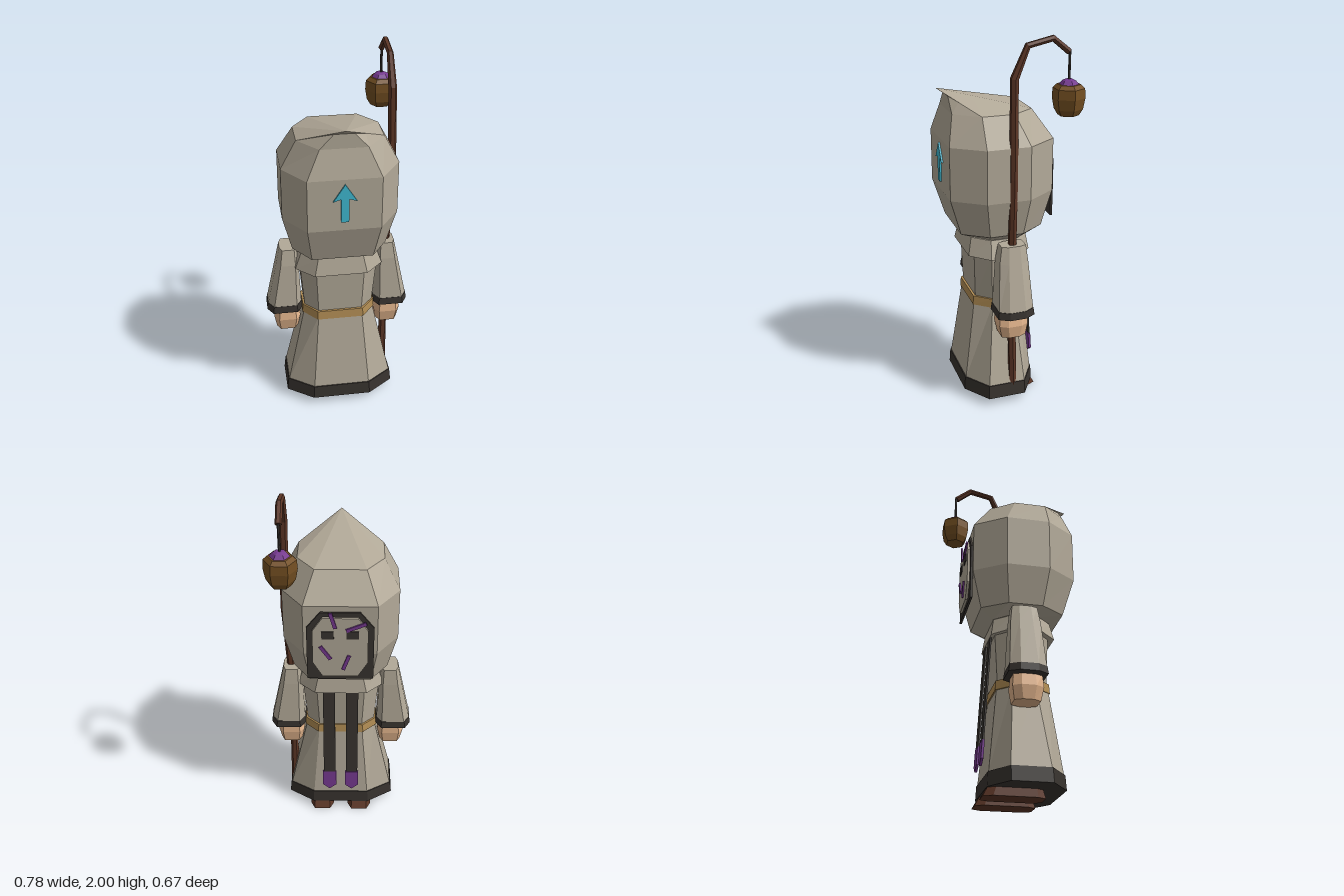
import * as THREE from 'three';

const mat = (name, color, flat = true) => {
  const m = new THREE.MeshStandardMaterial({ color, flatShading: flat });
  m.name = name;
  return m;
};

// Skin a list of rings (same point count, counter-clockwise about the travel direction) and cap both ends.
function loft(rings) {
  const pos = [];
  const tri = (...pts) => pts.forEach((p) => pos.push(...p));
  const n = rings[0].length;
  const mid = (r) => [0, 1, 2].map((k) => r.reduce((s, p) => s + p[k], 0) / n);
  const lo = rings[0], hi = rings[rings.length - 1];
  const cLo = mid(lo), cHi = mid(hi);
  for (let i = 0; i < n; i++) {
    const j = (i + 1) % n;
    for (let k = 0; k + 1 < rings.length; k++) {
      const a = rings[k], b = rings[k + 1];
      tri(a[i], a[j], b[j]);
      tri(a[i], b[j], b[i]);
    }
    tri(cLo, lo[j], lo[i]);
    tri(cHi, hi[i], hi[j]);
  }
  const g = new THREE.BufferGeometry();
  g.setAttribute('position', new THREE.Float32BufferAttribute(pos, 3));
  g.computeVertexNormals();
  return g;
}

// Eight-sided section: half width, front z, back z, half width of front/back faces, z span of side faces.
const oct = (y, sx, zf, zb, ex, sf, sb, cx = 0, bx = ex) => [
  [-ex, zf], [ex, zf], [sx, sf], [sx, sb], [bx, zb], [-bx, zb], [-sx, sb], [-sx, sf],
].map(([x, z]) => [x + cx, y, z]);

const polygon = (pts, depth) =>
  new THREE.ExtrudeGeometry(new THREE.Shape(pts.map((p) => new THREE.Vector2(...p))), { depth, bevelEnabled: false });

export function createModel() {
  const model = new THREE.Group();
  model.name = 'hoodedFigure';
  const cloth = mat('robeCloth', 0xb2a998), dark = mat('darkTrim', 0x38332f), wood = mat('darkWood', 0x5c3626),
    purple = mat('purple', 0x75388f), tan = mat('beltTan', 0xb48f55), skin = mat('skin', 0xe2b48c),
    brass = mat('lanternBrown', 0x734f22), cyan = mat('arrowCyan', 0x3fb9d2);

  const add = (name, geo, material, parent = model) => {
    const m = new THREE.Mesh(geo, material);
    m.name = name;
    parent.add(m);
    return m;
  };

  // Hood with a curled peak
  const apex = [0, 1.72, 0.335];
  const crown = oct(1.61, 0.22, 0.285, -0.13, 0.12, 0.16, -0.01, 0, 0.13);
  const curl = crown.map((p, i) => (i < 2
    ? [Math.sign(p[0]) * 0.05, 1.685, 0.285]
    : p.map((v, k) => v + (apex[k] - v) * 0.5)));
  add('hood', loft([
    oct(0.935, 0.19, 0.17, -0.11, 0.12, 0.1, -0.04),
    oct(0.98, 0.25, 0.26, -0.18, 0.16, 0.13, -0.05),
    oct(1.18, 0.3, 0.32, -0.23, 0.187, 0.16, -0.07),
    oct(1.46, 0.3, 0.32, -0.23, 0.187, 0.16, -0.07),
    crown, curl, crown.map(() => apex),
  ]), cloth);

  // Arrow emblem
  add('arrow', polygon([[-0.02, 1.23], [0.02, 1.23], [0.02, 1.358], [0.06, 1.345], [0, 1.437],
    [-0.06, 1.345], [-0.02, 1.358]], 0.009), cyan).position.z = 0.32;

  // Mask on the opposite side
  const face = new THREE.Group();
  face.name = 'mask';
  model.add(face);
  add('maskFrame', polygon([[-0.17, 1.03], [0.17, 1.03], [0.17, 1.34], [0.1, 1.43], [-0.1, 1.43], [-0.17, 1.34]], 0.012),
    dark, face).position.z = -0.24;
  add('maskPlate', polygon([[-0.09, 1.055], [0.09, 1.055], [0.14, 1.14], [0.14, 1.33], [0.09, 1.405], [-0.09, 1.405],
    [-0.14, 1.33], [-0.14, 1.14]], 0.013), cloth, face).position.z = -0.253;
  for (const s of [-1, 1]) {
    add('eye', new THREE.BoxGeometry(0.062, 0.045, 0.006), dark, face).position.set(s * 0.063, 1.308, -0.255);
  }
  for (const [x1, y1, x2, y2] of [[0.05, 1.437, 0.025, 1.35], [-0.03, 1.335, -0.13, 1.378],
    [0.1, 1.24, 0.05, 1.165], [-0.045, 1.185, -0.015, 1.1]]) {
    const m = add('paintMark', new THREE.BoxGeometry(0.018, Math.hypot(x2 - x1, y2 - y1), 0.009), purple, face);
    m.position.set((x1 + x2) / 2, (y1 + y2) / 2, -0.257);
    m.rotation.z = Math.atan2(x1 - x2, y2 - y1);
  }

  // Robe from collar to hem
  add('collar', loft([
    oct(0.843, 0.235, 0.215, -0.12, 0.14, 0.12, -0.03),
    oct(0.94, 0.2, 0.195, -0.105, 0.12, 0.11, -0.02),
  ]), cloth);
  add('torso', loft([
    oct(0.59, 0.187, 0.175, -0.083, 0.118, 0.1, -0.02),
    oct(0.86, 0.21, 0.183, -0.1, 0.13, 0.11, -0.02),
  ]), cloth);
  add('belt', loft([
    oct(0.545, 0.2, 0.19, -0.095, 0.125, 0.1, -0.025),
    oct(0.595, 0.197, 0.187, -0.092, 0.123, 0.1, -0.025),
  ]), tan);
  add('skirt', loft([
    oct(0.115, 0.29, 0.245, -0.13, 0.155, 0.15, -0.05),
    oct(0.56, 0.19, 0.183, -0.087, 0.12, 0.1, -0.02),
  ]), cloth);
  add('hem', loft([
    oct(0.043, 0.302, 0.255, -0.138, 0.16, 0.155, -0.05),
    oct(0.118, 0.294, 0.25, -0.134, 0.157, 0.152, -0.05),
  ]), dark);

  // Arms, feet and hanging straps, mirrored
  for (const s of [-1, 1]) {
    add('sleeve', loft([
      oct(0.595, 0.092, 0.117, -0.07, 0.062, 0.068, -0.02, s * 0.294),
      oct(0.85, 0.06, 0.1, -0.055, 0.04, 0.055, -0.012, s * 0.272),
      oct(0.94, 0.045, 0.085, -0.045, 0.032, 0.05, -0.01, s * 0.268),
    ]), cloth);
    add('cuff', loft([
      oct(0.56, 0.098, 0.123, -0.076, 0.067, 0.07, -0.022, s * 0.294),
      oct(0.6, 0.093, 0.118, -0.071, 0.063, 0.068, -0.02, s * 0.294),
    ]), dark);
    add('hand', loft([
      oct(0.43, 0.06, 0.092, -0.04, 0.04, 0.055, 0, s * 0.282),
      oct(0.5, 0.073, 0.107, -0.05, 0.048, 0.065, -0.01, s * 0.282),
      oct(0.57, 0.06, 0.1, -0.045, 0.042, 0.06, -0.005, s * 0.282),
    ]), skin);
    add('foot', loft([
      oct(0, 0.068, 0.152, -0.158, 0.045, 0.11, -0.11, s * 0.108),
      oct(0.06, 0.062, 0.135, -0.125, 0.042, 0.1, -0.09, s * 0.108),
    ]), wood);

    const strap = new THREE.Group();
    strap.name = 'strap';
    strap.position.set(s * 0.063, 0.85, -0.113);
    strap.rotation.x = 0.06;
    model.add(strap);
    add('strapBand', new THREE.BoxGeometry(0.066, 0.6, 0.009), dark, strap).position.y = -0.3;
    add('strapTip', polygon([[-0.038, -0.56], [-0.038, -0.655], [0, -0.685], [0.038, -0.655], [0.038, -0.56]], 0.013),
      purple, strap).position.z = -0.0065;
  }

  // Crooked staff: six-sided rings along a bent path
  const path = [[0.275, 0.06, 0.015], [0.27, 0.5, 0.02], [0.274, 0.95, 0.02], [0.295, 1.3, 0.022], [0.284, 1.8, 0.018],
    [0.28, 1.955, -0.05], [0.28, 1.983, -0.178], [0.28, 1.915, -0.262]].map((p) => new THREE.Vector3(...p));
  const xAxis = new THREE.Vector3(1, 0, 0);
  add('staff', loft(path.map((p, i) => {
    const dir = (a, b) => path[Math.min(b, path.length - 1)].clone().sub(path[Math.max(a, 0)]).normalize();
    const t = dir(i - 1, i).add(dir(i, i + 1)).normalize();
    const n = t.cross(xAxis).normalize();
    const r = i < 5 ? 0.022 : 0.017;
    return Array.from({ length: 6 }, (_, k) => {
      const a = (k * Math.PI) / 3;
      return p.clone().addScaledVector(xAxis, r * Math.cos(a)).addScaledVector(n, r * Math.sin(a)).toArray();
    });
  })), wood);

  // Hanging lantern
  const lantern = new THREE.Group();
  lantern.name = 'lantern';
  lantern.position.set(0.281, 0, -0.266);
  model.add(lantern);
  const hex = (y, r) => Array.from({ length: 6 }, (_, k) => {
    const a = Math.PI / 2 + (k * Math.PI) / 3;
    return [r * Math.sin(a), y, r * Math.cos(a)];
  });
  add('lanternBody', loft([hex(1.603, 0.054), hex(1.635, 0.073), hex(1.69, 0.083), hex(1.738, 0.08), hex(1.757, 0.06)]), brass, lantern);
  add('lanternCap', loft([hex(1.752, 0.055), hex(1.775, 0.034), hex(1.782, 0.018)]), purple, lantern);
  add('lanternCord', new THREE.CylinderGeometry(0.007, 0.007, 0.15, 6), dark, lantern).position.y = 1.845;

  return model;
}
